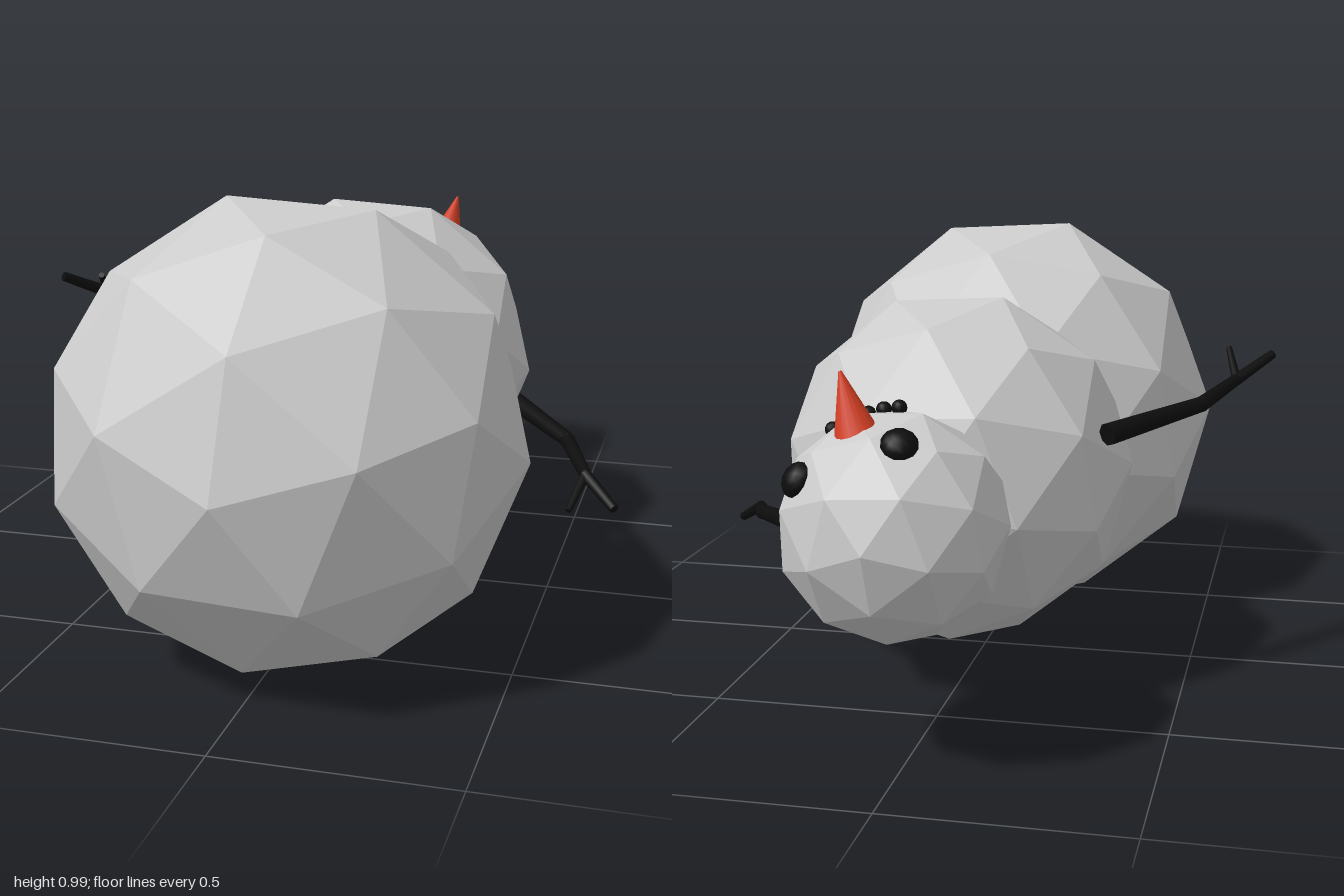
import * as THREE from 'three';

const snow = new THREE.MeshStandardMaterial({ color: 0xcccccc, flatShading: true });
const coal = new THREE.MeshStandardMaterial({ color: 0x0d0d0d });
const carrot = new THREE.MeshStandardMaterial({ color: 0xd64025 });
const V = (x, y, z) => new THREE.Vector3(x, y, z);
const UP = V(0, 1, 0);
const AXIS_X = 0.015, AXIS_Y = 0.496;
const HEAD = V(AXIS_X, AXIS_Y, -0.77), HEAD_R = 0.231;

function add(parent, name, geometry, material) {
  const mesh = new THREE.Mesh(geometry, material);
  mesh.name = name;
  parent.add(mesh);
  return mesh;
}

// Faceted snowball with a corner pointing along the body axis (z)
function snowball(parent, name, z, r) {
  const g = new THREE.IcosahedronGeometry(r, 1);
  g.rotateX(Math.atan(2 / (1 + Math.sqrt(5))));
  g.rotateZ(THREE.MathUtils.degToRad(32.9));
  add(parent, name, g, snow).position.set(AXIS_X, AXIS_Y, z);
}

// Tapered round stick from a to b
function stick(parent, name, a, b, ra, rb, material = coal, sides = 8) {
  const d = b.clone().sub(a);
  const m = add(parent, name, new THREE.CylinderGeometry(rb, ra, d.length(), sides), material);
  m.position.copy(a).addScaledVector(d, 0.5);
  m.quaternion.setFromUnitVectors(UP, d.normalize());
}

// Squashed lump of coal on the head; x and z choose the spot
function lump(parent, name, x, z, r, squash, sink) {
  const dx = x - HEAD.x, dz = z - HEAD.z;
  const n = V(dx, Math.sqrt(HEAD_R ** 2 - dx * dx - dz * dz), dz).normalize();
  const m = add(parent, name, new THREE.SphereGeometry(r, 12, 8), coal);
  m.position.copy(HEAD).addScaledVector(n, HEAD_R - sink);
  m.quaternion.setFromUnitVectors(UP, n);
  m.scale.y = squash;
}

// Forked twig arm, relative to the point the two arms turn about
function arm(name) {
  const g = new THREE.Group();
  g.name = name;
  const shoulder = V(0.34, -0.12, -0.35), elbow = V(0.52, -0.152, -0.125);
  const wrist = V(0.585, -0.182, 0.04);
  stick(g, 'upperArm', shoulder, elbow, 0.025, 0.018);
  stick(g, 'forearm', elbow, wrist, 0.018, 0.014);
  stick(g, 'longFinger', wrist, V(0.662, -0.232, 0.12), 0.014, 0.011);
  stick(g, 'shortFinger', wrist, V(0.56, -0.242, 0.13), 0.011, 0.007);
  add(g, 'elbowJoint', new THREE.SphereGeometry(0.018, 8, 6), coal).position.copy(elbow);
  add(g, 'wristJoint', new THREE.SphereGeometry(0.014, 8, 6), coal).position.copy(wrist);
  g.position.set(0, 0.487, 0);
  return g;
}

export function createModel() {
  const model = new THREE.Group();
  model.name = 'snowman';

  // Three snowballs lying along z
  snowball(model, 'base', 0.49, 0.51);
  snowball(model, 'chest', -0.22, 0.395);
  snowball(model, 'head', HEAD.z, HEAD_R);

  // Arms: the right one is the left turned half way round the body axis
  const leftArm = arm('leftArm');
  const rightArm = arm('rightArm');
  rightArm.rotation.z = Math.PI;
  model.add(leftArm, rightArm);

  // Face
  const face = new THREE.Group();
  face.name = 'face';
  model.add(face);
  lump(face, 'rightEye', -0.03, -0.887, 0.037, 0.75, 0.012);
  lump(face, 'leftEye', 0.18, -0.885, 0.037, 0.75, 0.012);
  stick(face, 'nose', V(0.07, 0.675, -0.82), V(0.105, 0.803, -0.813), 0.047, 0.003, carrot, 16);
  [[0.018, -0.71], [0.053, -0.697], [0.087, -0.69], [0.122, -0.695], [0.155, -0.71]]
    .forEach(([x, z], i) => lump(face, 'mouthCoal' + (i + 1), x, z, 0.016, 1, 0.002));

  return model;
}
